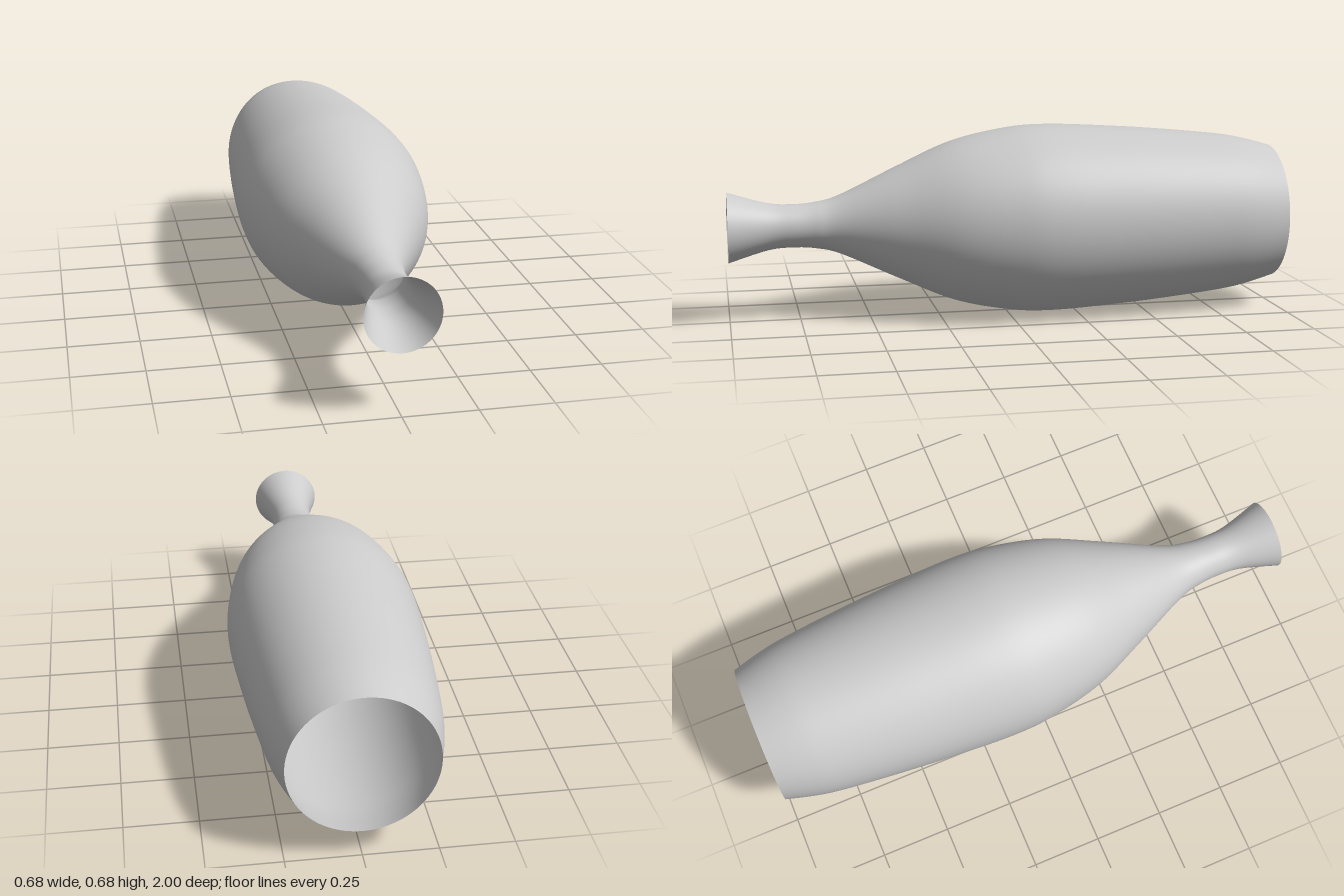
import * as THREE from 'three';

export function createModel() {
  const group = new THREE.Group();
  group.name = 'vase';

  // Profile as (radius, position along the axis), from wide base end to flared mouth
  const profile = new THREE.SplineCurve([
    [0.247, -1], [0.274, -0.9], [0.292, -0.8], [0.313, -0.6], [0.329, -0.4],
    [0.341, -0.16], [0.331, 0], [0.287, 0.2], [0.2, 0.4], [0.107, 0.6],
    [0.083, 0.69], [0.077, 0.77], [0.084, 0.86], [0.125, 1],
  ].map(([r, z]) => new THREE.Vector2(r, z)));

  // Thin open shell, laid down so the mouth faces the front
  const geometry = new THREE.LatheGeometry(profile.getPoints(104), 96);
  geometry.rotateX(Math.PI / 2);
  const shell = new THREE.Mesh(
    geometry,
    new THREE.MeshStandardMaterial({ color: 0xcccccc, side: THREE.DoubleSide })
  );
  shell.name = 'vaseShell';
  shell.position.y = 0.341;
  group.add(shell);

  return group;
}
